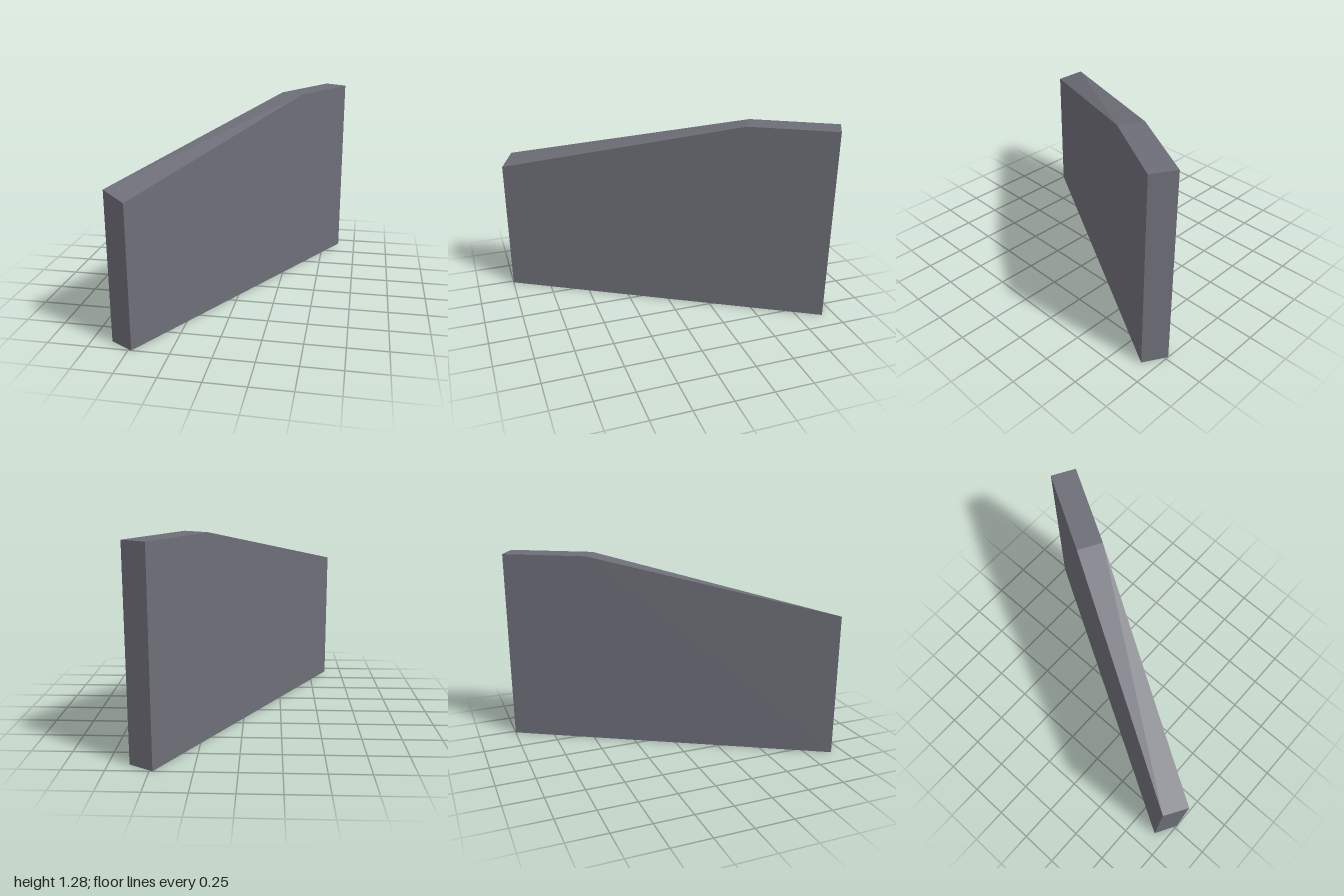
import * as THREE from 'three';

export function createModel() {
  const group = new THREE.Group();
  const slate = new THREE.MeshStandardMaterial({ color: 0x6e6e78 });
  slate.name = 'slate grey';

  const half = 1.106, thick = 0.168;

  // Wall outline: flat at the tall end, sloping down to the low end
  const outline = new THREE.Shape([
    [-half, 0], [half, 0], [half, 1.285], [0.538, 1.285], [-half, 0.945],
  ].map(([x, y]) => new THREE.Vector2(x, y)));
  const geo = new THREE.ExtrudeGeometry(outline, { depth: thick, bevelEnabled: false });
  geo.translate(0, 0, -thick / 2);

  // Tilt the top of the low end: its outer corner sits slightly lower
  const pos = geo.attributes.position;
  for (let i = 0; i < pos.count; i++) {
    if (pos.getX(i) < -1 && pos.getY(i) > 0.5 && pos.getZ(i) > 0) pos.setY(i, 0.9);
  }
  geo.computeVertexNormals();

  // The wall stands diagonally on the ground
  const wall = new THREE.Mesh(geo, slate);
  wall.name = 'slopedWall';
  wall.rotation.y = Math.PI / 3;
  group.add(wall);
  return group;
}
